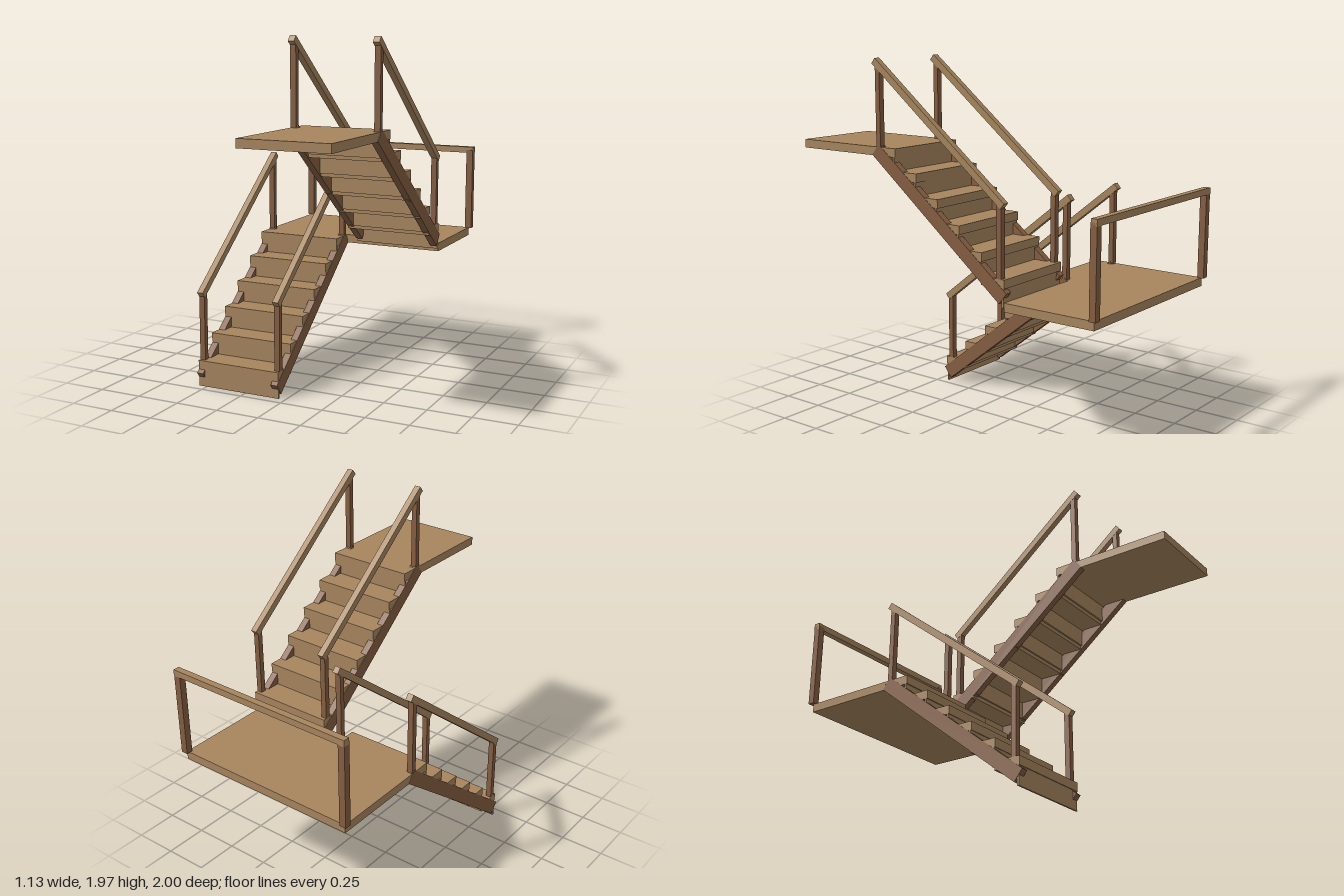
import * as THREE from 'three';

const lightWood = new THREE.MeshStandardMaterial({ color: 0xa6855e });
lightWood.name = 'lightWood';
const redWood = new THREE.MeshStandardMaterial({ color: 0x855e42 });
redWood.name = 'redWood';

// Box given by its [min, max] range on each axis
function block(parent, name, material, [x0, x1], [y0, y1], [z0, z1]) {
  const mesh = new THREE.Mesh(new THREE.BoxGeometry(x1 - x0, y1 - y0, z1 - z0), material);
  mesh.position.set((x0 + x1) / 2, (y0 + y1) / 2, (z0 + z1) / 2);
  mesh.name = name;
  parent.add(mesh);
}

// Sloping beam in the y-z plane, running between two [z, y] points
function beam(parent, name, material, x, width, depth, [z0, y0], [z1, y1]) {
  const length = Math.hypot(z1 - z0, y1 - y0);
  const mesh = new THREE.Mesh(new THREE.BoxGeometry(width, depth, length), material);
  mesh.position.set(x, (y0 + y1) / 2, (z0 + z1) / 2);
  mesh.rotation.x = Math.atan2(y1 - y0, z0 - z1);
  mesh.name = name;
  parent.add(mesh);
}

const STEPS = 6, RISE = 0.122, GOING = 0.147, HALF = 0.254;

// One flight, climbing towards -z
function createFlight(name) {
  const flight = new THREE.Group();
  flight.name = name;

  for (let i = 0; i < STEPS; i++) {
    const top = 0.15 + i * RISE;
    const front = 0.453 - i * GOING;
    block(flight, 'tread', lightWood, [-HALF, HALF], [top - 0.048, top], [front - 0.15, front]);
    block(flight, 'riser', lightWood, [-HALF, HALF], [top - 0.15, top - 0.048], [front - 0.015, front - 0.005]);
  }

  for (const side of [-1, 1]) {
    beam(flight, 'stringer', redWood, side * 0.236, 0.04, 0.077, [0.445, 0.05], [-0.425, 0.745]);
    const x = side * 0.238;
    const px = [x - 0.0165, x + 0.0165];
    block(flight, 'lowerPost', redWood, px, [0.15, 0.54], [0.403, 0.433]);
    block(flight, 'upperPost', redWood, px, [0.76, 1.19], [-0.418, -0.388]);
    beam(flight, 'handrail', lightWood, x, 0.036, 0.038, [0.441, 0.527], [-0.429, 1.222]);
  }
  return flight;
}

export function createModel() {
  const model = new THREE.Group();
  model.name = 'staircase';

  // Two flights, the upper one turned back on the lower one
  const lower = createFlight('lowerFlight');
  lower.position.x = -0.294;
  const upper = createFlight('upperFlight');
  upper.position.set(0.291, 0.73, 0.02);
  upper.rotation.y = Math.PI;
  model.add(lower, upper);

  // Half landing and top platform
  block(model, 'landing', lightWood, [-0.549, 0.546], [0.712, 0.76], [-0.978, -0.432]);
  block(model, 'platform', lightWood, [0.037, 0.545], [1.442, 1.49], [0.452, 1]);

  // Guard rail along the back of the landing
  for (const x of [-0.549, 0.546]) {
    block(model, 'guardPost', redWood, [x - 0.02, x + 0.02], [0.76, 1.247], [-0.998, -0.96]);
  }
  block(model, 'guardRail', lightWood, [-0.569, 0.566], [1.23, 1.266], [-1, -0.963]);

  return model;
}
